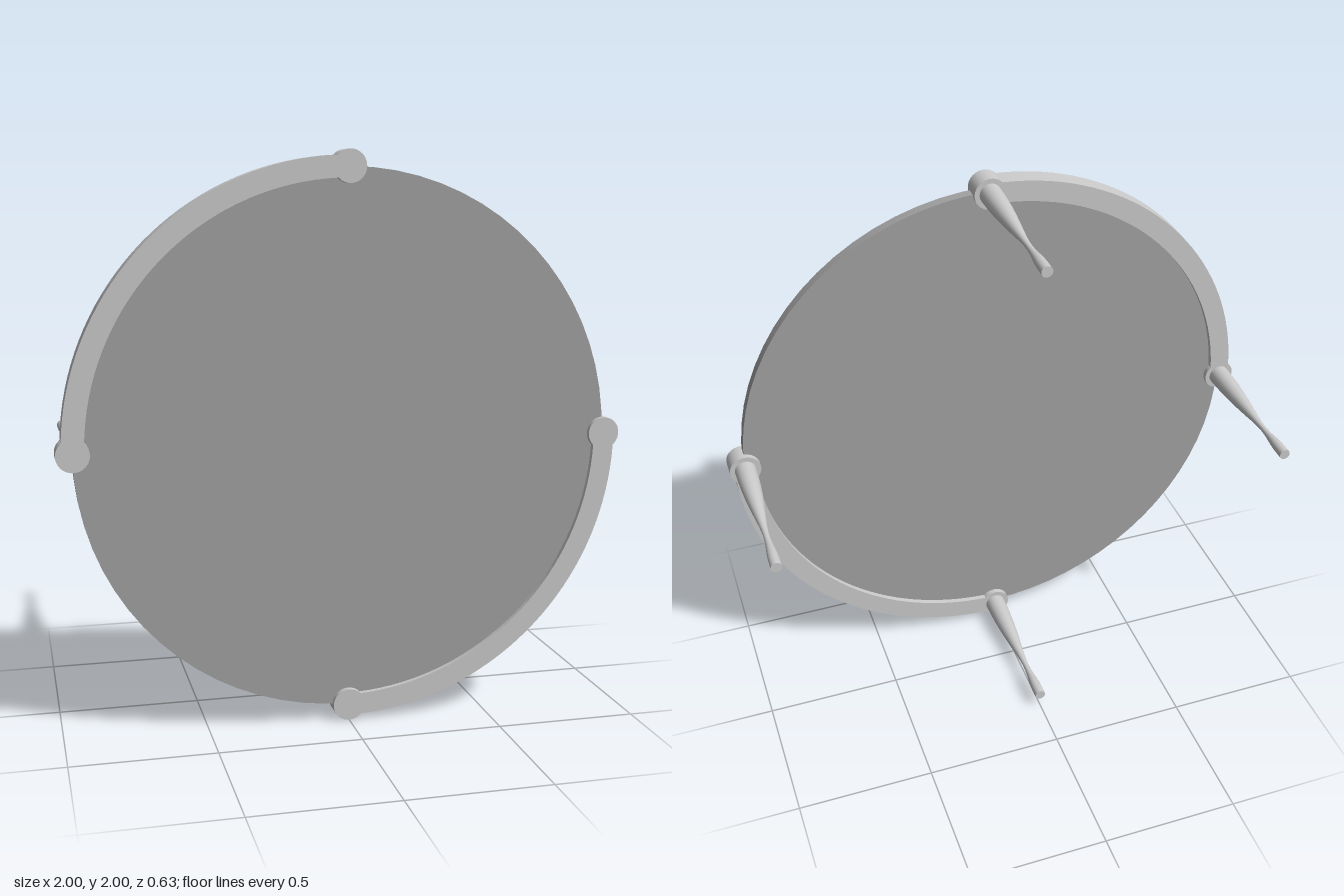
import * as THREE from 'three';

const RING = 0.943;             // radius on which rim, knobs and legs sit
const BACK = 0.24, FRONT = 0.315; // depth of the rim

export function createModel() {
  const group = new THREE.Group();
  const grey = new THREE.MeshStandardMaterial({ color: 0xcccccc });
  const dark = new THREE.MeshStandardMaterial({ color: 0xa3a3a3 });
  const add = (name, geometry, material, x = 0, y = 0, z = 0) => {
    const mesh = new THREE.Mesh(geometry, material);
    mesh.name = name;
    mesh.position.set(x, y + 1, z);
    group.add(mesh);
  };

  // Round panel
  add('panel', new THREE.CylinderGeometry(RING, RING, 0.037, 72).rotateX(Math.PI / 2), dark, 0, 0, 0.278);

  // Two opposite quarter rims gripping the panel edge
  const rimGeometry = (start) => {
    const end = start + Math.PI / 2;
    const shape = new THREE.Shape();
    shape.absarc(0, 0, 0.981, start, end, false);
    shape.absarc(0, 0, 0.905, end, start, true);
    shape.closePath();
    return new THREE.ExtrudeGeometry(shape, { depth: FRONT - BACK, bevelEnabled: false, curveSegments: 18 });
  };
  add('rimUpper', rimGeometry(Math.PI / 2), grey, 0, 0, BACK);
  add('rimLower', rimGeometry(Math.PI * 1.5), grey, 0, 0, BACK);

  // Knobs at the rim ends, each with a turned leg pointing backwards
  const knob = new THREE.CylinderGeometry(0.057, 0.057, FRONT - BACK, 32).rotateX(Math.PI / 2);
  const curve = new THREE.SplineCurve([
    [0.039, 0], [0.037, 0.08], [0.032, 0.16], [0.023, 0.25], [0.014, 0.33],
    [0.011, 0.38], [0.013, 0.43], [0.019, 0.49], [0.02, 0.555],
  ].map(([r, d]) => new THREE.Vector2(r, d)));
  const profile = [new THREE.Vector2(0, 0), new THREE.Vector2(0.039, 0), ...curve.getPoints(24),
    new THREE.Vector2(0.02, 0.555), new THREE.Vector2(0, 0.555)];
  const leg = new THREE.LatheGeometry(profile, 24).rotateX(-Math.PI / 2);

  ['left', 'top', 'right', 'bottom'].forEach((side, i) => {
    const x = RING * Math.cos(i * Math.PI / 2), y = RING * Math.sin(i * Math.PI / 2);
    add(side + 'Knob', knob, grey, x, y, (BACK + FRONT) / 2);
    add(side + 'Leg', leg, grey, x, y, BACK);
  });
  return group;
}
